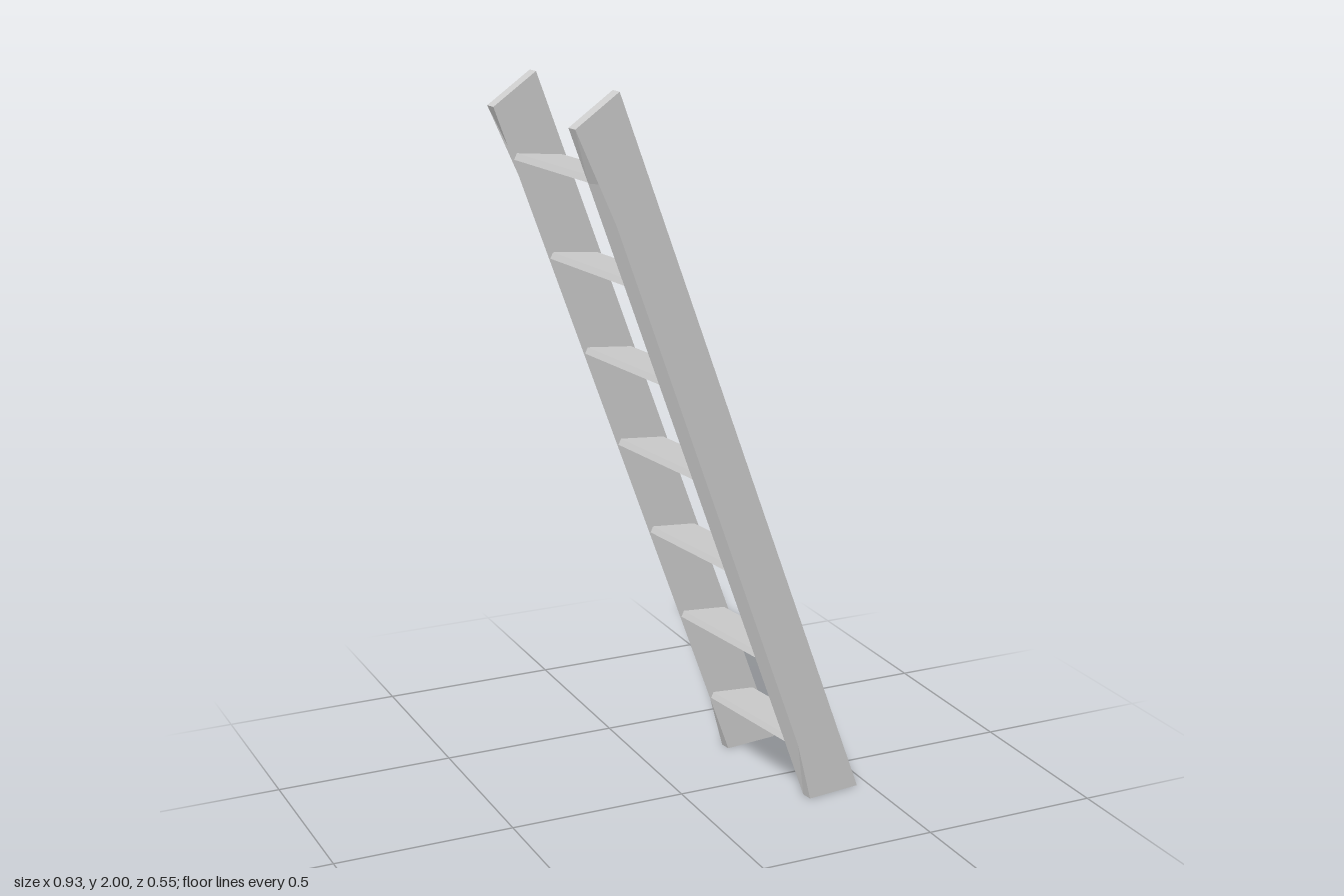
import * as THREE from 'three';

const YAW = 0.136;        // the ladder stands slightly turned
const HALF_WIDTH = 0.2175;
const RAIL_T = 0.032;
const CUT = 0.02;         // depth of the stopped chamfer

const material = new THREE.MeshStandardMaterial({ color: 0xcccccc, flatShading: true });

// Prism from a side profile, running from z0 to z0 + depth
function prism(points, z0, depth) {
  const shape = new THREE.Shape(points.map(([x, y]) => new THREE.Vector2(x, y)));
  const geometry = new THREE.ExtrudeGeometry(shape, { depth, bevelEnabled: false });
  return geometry.translate(0, 0, z0);
}

// Leaning side rail; its outer underside edge is chamfered, stopping at both ends
function makeRail(side) {
  const under = (y) => 0.281 - (0.7225 * y) / 1.92;
  const low = 0.17, high = 1.78;
  const profile = [
    [0.4415, 0], [-0.317, 2], [-0.4415, 1.92],
    [under(high) + 0.0005, high], [under(low) + 0.0005, low], [under(0), 0],
  ];
  const z0 = side > 0 ? HALF_WIDTH - RAIL_T : -HALF_WIDTH;
  const geometry = prism(profile, z0, RAIL_T);
  const p = geometry.attributes.position;
  for (let i = 0; i < p.count; i++) {
    const y = p.getY(i);
    const chamfered = Math.abs(y - low) < 1e-4 || Math.abs(y - high) < 1e-4;
    const outer = p.getZ(i) * side > HALF_WIDTH - RAIL_T / 2;
    if (chamfered && outer) p.setX(i, p.getX(i) + CUT);
  }
  geometry.computeVertexNormals();
  const rail = new THREE.Mesh(geometry, material);
  rail.name = side > 0 ? 'frontRail' : 'backRail';
  return rail;
}

export function createModel() {
  const model = new THREE.Group();
  model.name = 'ladder';

  const ladder = new THREE.Group();
  ladder.name = 'ladderBody';
  ladder.rotation.y = YAW;
  model.add(ladder);

  for (const side of [1, -1]) ladder.add(makeRail(side));

  // Wedge-shaped treads, thick at the stepping edge and thin at the far edge
  const inner = HALF_WIDTH - RAIL_T;
  const treadGeometry = prism(
    [[0, -0.016], [0.143, -0.06], [0.143, -0.016], [0.008, 0]],
    -inner, inner * 2,
  );
  for (let i = 0; i < 7; i++) {
    const tread = new THREE.Mesh(treadGeometry, material);
    tread.name = `tread${i + 1}`;
    tread.position.set(0.221 - 0.101 * i, 0.187 + 0.2683 * i, 0);
    ladder.add(tread);
  }
  return model;
}
